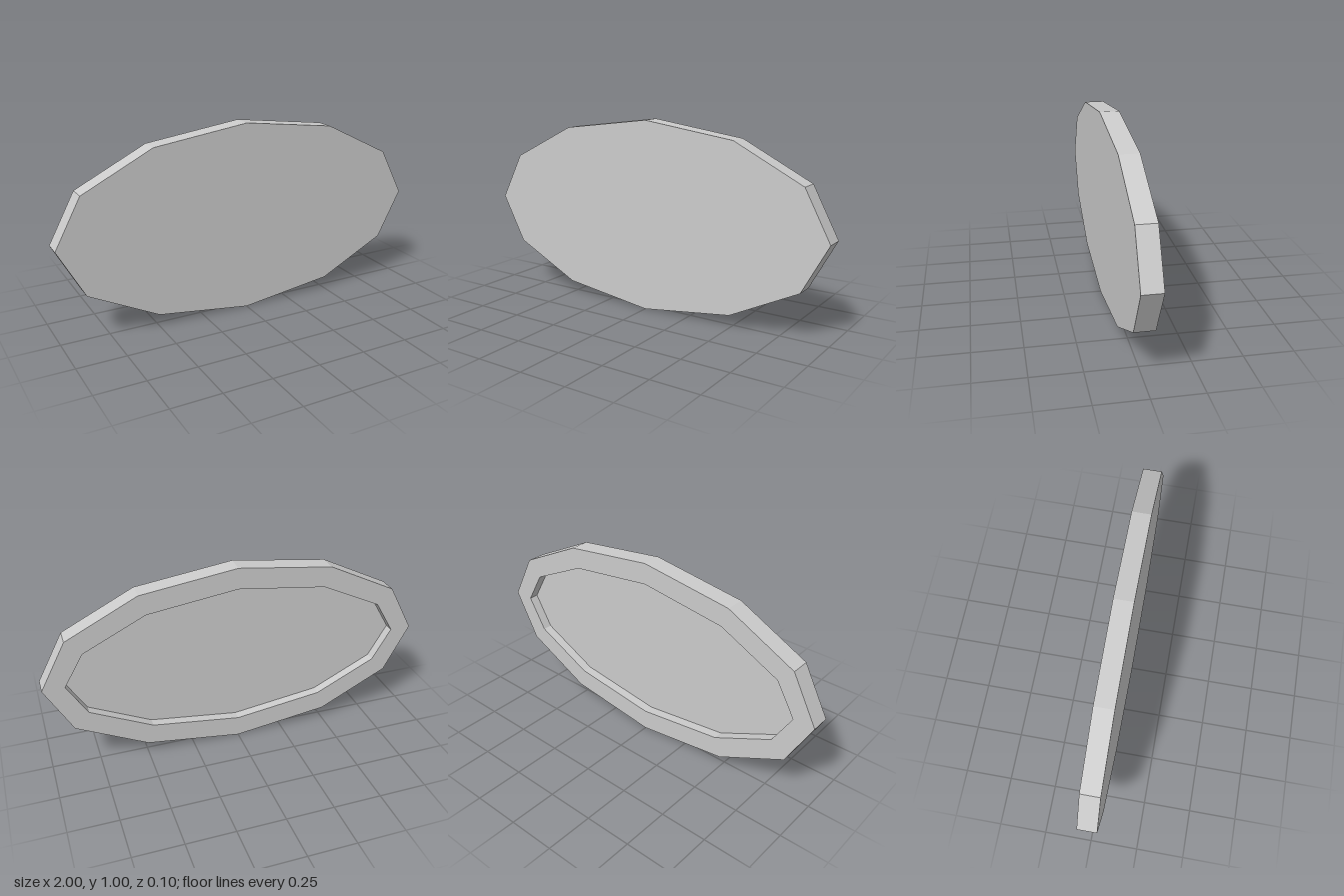
import * as THREE from 'three';

const SIDES = 12;

// Outer twelve-sided oval, counter-clockwise seen from the front
const outer = Array.from({ length: SIDES }, (_, i) => {
  const a = (i / SIDES) * Math.PI * 2;
  return new THREE.Vector2(Math.cos(a), 0.5 + 0.5 * Math.sin(a));
});

// Move every corner inwards along its averaged edge normal
function inset(points, distance) {
  const n = points.length;
  const normal = (a, b) => new THREE.Vector2(b.y - a.y, a.x - b.x).normalize();
  return points.map((p, i) => {
    const before = normal(points[(i + n - 1) % n], p);
    const after = normal(p, points[(i + 1) % n]);
    return p.clone().addScaledVector(before.add(after).normalize(), -distance);
  });
}

// Skin a row of rings, from the front centre round to the recess centre
function loft(rings) {
  const pos = [];
  const tri = (...corners) => corners.forEach((c) => pos.push(c.x, c.y, c.z));
  for (let r = 0; r < rings.length - 1; r++) {
    for (let i = 0; i < SIDES; i++) {
      const j = (i + 1) % SIDES;
      const [a, b, c, d] = [rings[r][i], rings[r + 1][i], rings[r + 1][j], rings[r][j]];
      if (r > 0) tri(a, b, d);
      if (r === 0) tri(a, b, c);
      else if (r < rings.length - 2) tri(b, c, d);
    }
  }
  const geometry = new THREE.BufferGeometry();
  geometry.setAttribute('position', new THREE.Float32BufferAttribute(pos, 3));
  geometry.computeVertexNormals();
  return geometry;
}

export function createModel() {
  const group = new THREE.Group();
  group.name = 'ovalTray';

  const at = (points, z) => points.map((p) => new THREE.Vector3(p.x, p.y, z));
  const centre = Array(SIDES).fill(new THREE.Vector2(0, 0.5));
  const inner = inset(outer, 0.1125);

  // Flat front, outer wall, back rim, recess wall and recess floor
  const plate = new THREE.Mesh(
    loft([
      at(centre, 0.05),
      at(outer, 0.05),
      at(outer, -0.05),
      at(inner, -0.05),
      at(inner, 0),
      at(centre, 0),
    ]),
    new THREE.MeshStandardMaterial({ color: 0xcccccc, flatShading: true })
  );
  plate.name = 'recessedPlate';
  group.add(plate);
  return group;
}
